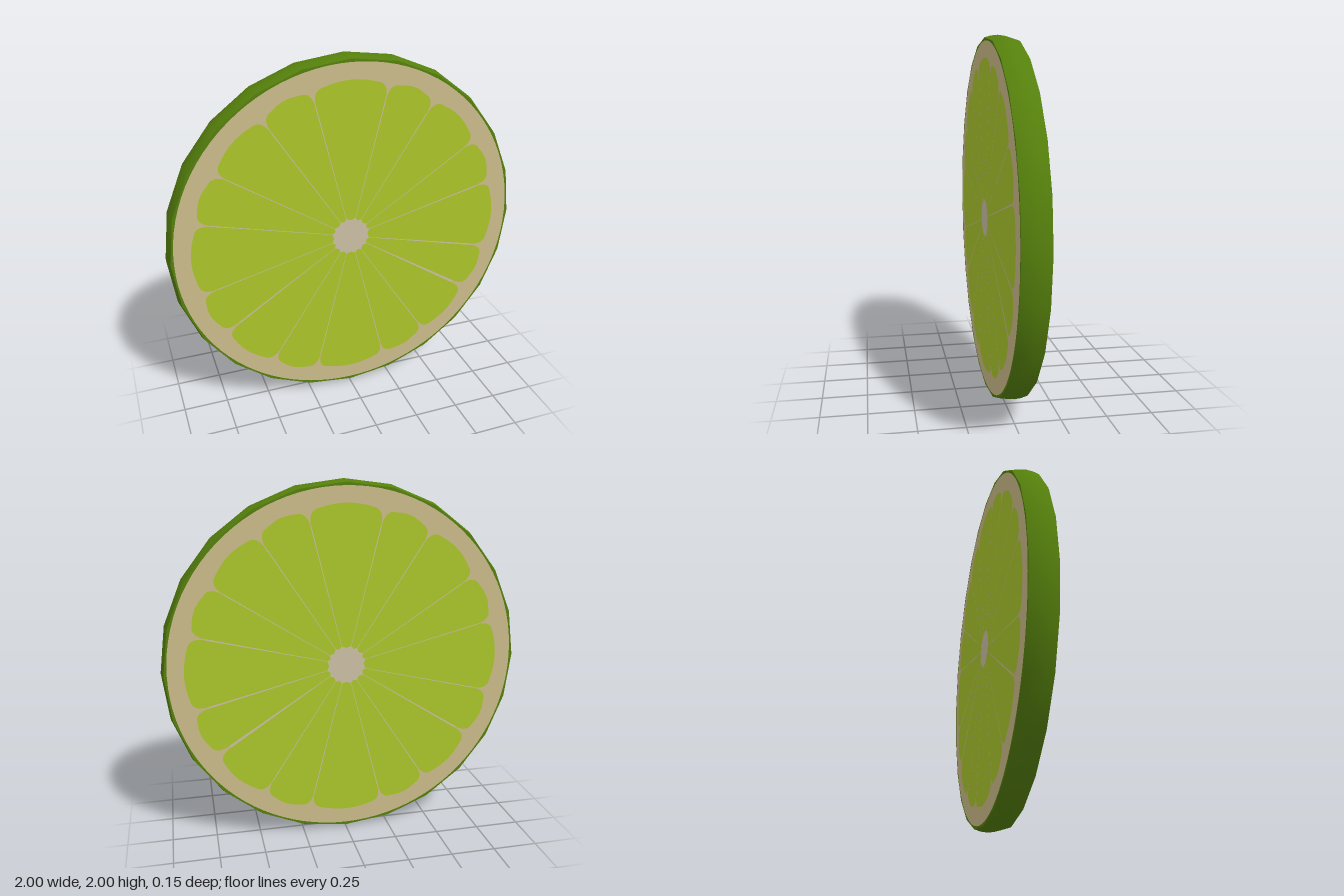
import * as THREE from 'three';

const mat = (name, color) => {
  const m = new THREE.MeshStandardMaterial({ color });
  m.name = name;
  return m;
};
const rad = THREE.MathUtils.degToRad;
const HALF = 0.071; // half thickness of the slice

// Membrane directions in degrees, clockwise from the top
const membranes = [];
for (let q = 0; q < 360; q += 90) membranes.push(q + 14, q + 33, q + 57, q + 76);

// Half width of each membrane; a few are visibly wider
const wide = { 76: 0.004, 104: 0.005, 123: 0.008, 237: 0.005 };
const halfGap = (deg) => wide[deg] ?? 0.0025;

// Point at angle a (clockwise from the top), mirrored for the back face
const polar = (a, r, side) => new THREE.Vector2(Math.sin(a) * r * side, Math.cos(a) * r);

// One wedge of pulp with rounded outer corners
function wedgeShape(d0, d1, side) {
  const R = 0.88, inner = 0.11;
  const g0 = halfGap(d0), g1 = halfGap(d1);
  const a0 = rad(d0), a1 = rad(d1), corner = 0.075;
  const p = (a, r) => polar(a, r, side);
  const s = new THREE.Shape();
  const start = p(a0 + 0.012, inner);
  s.moveTo(start.x, start.y);
  const quad = (c, e) => s.quadraticCurveTo(c.x, c.y, e.x, e.y);
  const line = (e) => s.lineTo(e.x, e.y);
  line(p(a0 + g0 / 0.8, 0.8));
  quad(p(a0 + g0 / R + 0.008, 0.868), p(a0 + corner, 0.868));
  for (let i = 1; i < 8; i++) {
    const t = i / 8;
    line(p(a0 + corner + (a1 - a0 - 2 * corner) * t, 0.868 + (R - 0.868) * Math.sin(Math.PI * t)));
  }
  line(p(a1 - corner, 0.868));
  quad(p(a1 - g1 / R - 0.008, 0.868), p(a1 - g1 / 0.8, 0.8));
  line(p(a1 - 0.012, inner));
  line(p((a0 + a1) / 2, inner - 0.012));
  return s;
}

// A cut face: pith ring, pale membranes and core, then the pulp wedges
function cutFace(name, side, mats) {
  const face = new THREE.Group();
  face.name = name;
  const add = (partName, geo, material, z) => {
    const mesh = new THREE.Mesh(geo, material);
    mesh.name = partName;
    mesh.position.z = z;
    face.add(mesh);
  };
  add('pith', new THREE.RingGeometry(0.78, 0.968, 96), mats.pith, HALF + 0.001);
  add('coreAndMembranes', new THREE.CircleGeometry(0.81, 64), mats.membrane, HALF + 0.001 - 0.0005);
  membranes.forEach((d, i) => {
    const next = i < membranes.length - 1 ? membranes[i + 1] : membranes[0] + 360;
    add('pulpSegment', new THREE.ShapeGeometry(wedgeShape(d, next, side), 6), mats.pulp, HALF + 0.003);
  });
  if (side < 0) face.rotation.y = Math.PI;
  return face;
}

export function createModel() {
  const rindMat = mat('rind green', 0x55800c);
  const mats = {
    pith: mat('pith tan', 0xcbbb8a),
    membrane: mat('membrane cream', 0xccc0a6),
    pulp: mat('pulp lime', 0xabc52b),
  };

  const model = new THREE.Group();
  model.name = 'citrusSlice';

  // Slightly bulging rind with a narrow lip on each side
  const profile = [
    [0.95, -HALF], [0.985, -HALF - 0.001], [0.986, -HALF], [0.996, -0.036], [1, 0],
    [0.996, 0.036], [0.986, HALF], [0.985, HALF + 0.001], [0.95, HALF],
  ].map(([r, y]) => new THREE.Vector2(r, y));
  const rind = new THREE.Mesh(new THREE.LatheGeometry(profile, 24), rindMat);
  rind.geometry.rotateX(Math.PI / 2);
  rind.name = 'rind';

  model.add(rind, cutFace('frontFace', 1, mats), cutFace('backFace', -1, mats));
  model.children.forEach((c) => { c.position.y = 1; });
  return model;
}
